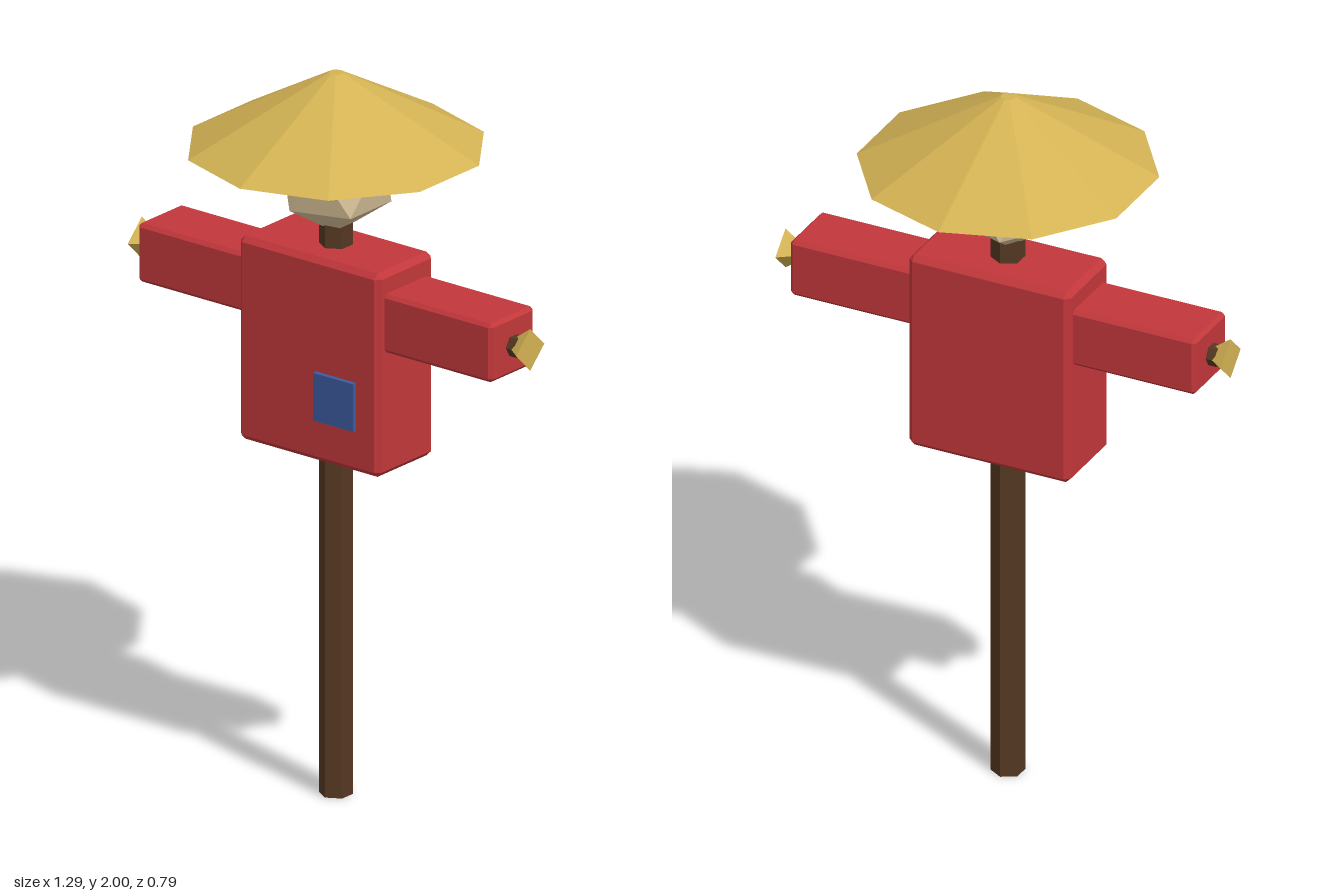
import * as THREE from 'three';
import { ConvexGeometry } from 'three/addons/geometries/ConvexGeometry.js';

function material(name, color) {
  const m = new THREE.MeshStandardMaterial({ color, flatShading: true });
  m.name = name;
  return m;
}

// Box with a single flat chamfer along every edge
function chamferBox(w, h, d, c) {
  const half = [w / 2, h / 2, d / 2];
  const points = [];
  for (const sx of [-1, 1]) for (const sy of [-1, 1]) for (const sz of [-1, 1]) {
    for (let axis = 0; axis < 3; axis++) {
      const p = half.map((v, i) => (i === axis ? v : v - c));
      points.push(new THREE.Vector3(p[0] * sx, p[1] * sy, p[2] * sz));
    }
  }
  return new ConvexGeometry(points);
}

export function createModel() {
  const model = new THREE.Group();
  model.name = 'scarecrow';
  const red = material('red cloth', 0xc2373a);
  const wood = material('dark wood', 0x553822);
  const straw = material('straw', 0xd4b354);
  const sack = material('sackcloth', 0xd6c098);
  const blue = material('blue patch', 0x3d5a9f);

  const add = (name, geometry, mat, x = 0, y = 0, z = 0) => {
    const mesh = new THREE.Mesh(geometry, mat);
    mesh.name = name;
    mesh.position.set(x, y, z);
    model.add(mesh);
    return mesh;
  };

  // Upright pole and crossbar
  add('pole', new THREE.CylinderGeometry(0.045, 0.045, 1.64, 6), wood, 0, 0.82);
  add('crossbar', new THREE.CylinderGeometry(0.03, 0.03, 1.23, 6).rotateZ(Math.PI / 2), wood, 0, 1.385);

  // Shirt
  add('shirt', chamferBox(0.47, 0.565, 0.232, 0.015), red, 0, 1.2425);
  add('patch', new THREE.BoxGeometry(0.132, 0.132, 0.02), blue, 0.095, 1.145, 0.12);

  // Sleeves with straw tufts flaring outwards
  for (const [side, s] of [['left', 1], ['right', -1]]) {
    add(side + 'Sleeve', chamferBox(0.39, 0.163, 0.182, 0.01), red, s * 0.395, 1.385);
    const tuft = new THREE.ConeGeometry(0.058, 0.08, 4).rotateZ(s * Math.PI / 2);
    add(side + 'StrawHand', tuft, straw, s * 0.607, 1.385);
  }

  // Faceted head with one vertex pointing straight up
  const head = new THREE.IcosahedronGeometry(0.161, 0);
  head.rotateX(-Math.atan((1 + Math.sqrt(5)) / 2)).rotateY(Math.PI / 2);
  add('head', head, sack, 0, 1.717);

  // Wide conical hat
  add('hat', new THREE.CylinderGeometry(0.02, 0.397, 0.205, 10), straw, 0, 1.8975);

  return model;
}
